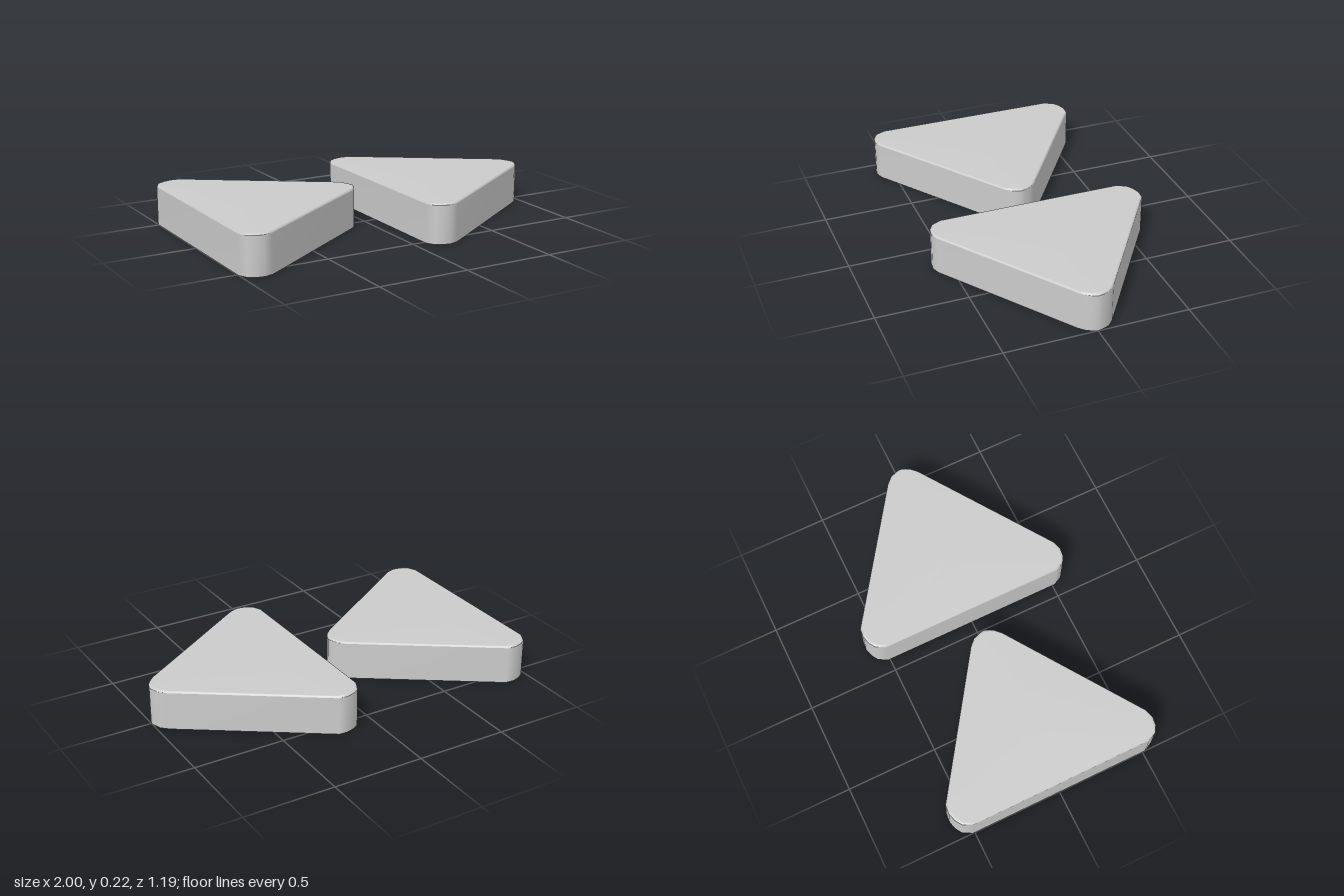
import * as THREE from 'three';

// Rounded-triangle outline (x, z), centred on its own middle, pointing to +x
const OUTLINE = [
  [-0.465, -0.51], [-0.44, -0.56], [-0.405, -0.583], [-0.358, -0.597], [-0.31, -0.593],
  [0.41, -0.10], [0.445, -0.065], [0.46, -0.025], [0.465, 0],
  [0.455, 0.03], [0.44, 0.055], [0.41, 0.085],
  [-0.31, 0.577], [-0.358, 0.592], [-0.405, 0.585], [-0.44, 0.565], [-0.465, 0.515],
];
const HEIGHT = 0.22;
const INNER_X = -0.15; // centre towards which the rim is inset

// Skin a stack of [y, scale] rings, optionally closed by a cap on the last ring
function skin(rings, cap) {
  const n = OUTLINE.length, pos = [], index = [];
  for (const [y, s] of rings) {
    for (const [x, z] of OUTLINE) pos.push(INNER_X + (x - INNER_X) * s, y, z * s);
  }
  for (let r = 0; r < rings.length - 1; r++) {
    for (let i = 0; i < n; i++) {
      const a = r * n + i, b = r * n + (i + 1) % n;
      index.push(a, a + n, b, b, a + n, b + n);
    }
  }
  if (cap) {
    const base = (rings.length - 1) * n, c = pos.length / 3;
    pos.push(INNER_X, rings[rings.length - 1][0], 0);
    for (let i = 0; i < n; i++) index.push(c, base + (i + 1) % n, base + i);
  }
  const g = new THREE.BufferGeometry();
  g.setAttribute('position', new THREE.Float32BufferAttribute(pos, 3));
  g.setIndex(index);
  g.computeVertexNormals();
  return g;
}

export function createModel() {
  const model = new THREE.Group();
  model.name = 'trianglePads';
  const material = new THREE.MeshStandardMaterial({ color: 0xcccccc, side: THREE.DoubleSide });

  const rim = HEIGHT - 0.01;
  const parts = {
    sideWall: skin([[0, 1], [rim, 1]], false), // open underneath
    topPlate: skin([[rim, 1], [HEIGHT - 0.003, 0.992], [HEIGHT, 0.975]], true), // softened rim
  };

  // Two identical hollow pads side by side
  for (const [name, x] of [['rightPad', -0.535], ['leftPad', 0.535]]) {
    const pad = new THREE.Group();
    pad.name = name;
    for (const [part, geometry] of Object.entries(parts)) {
      const mesh = new THREE.Mesh(geometry, material);
      mesh.name = part;
      pad.add(mesh);
    }
    pad.position.x = x;
    model.add(pad);
  }
  return model;
}
